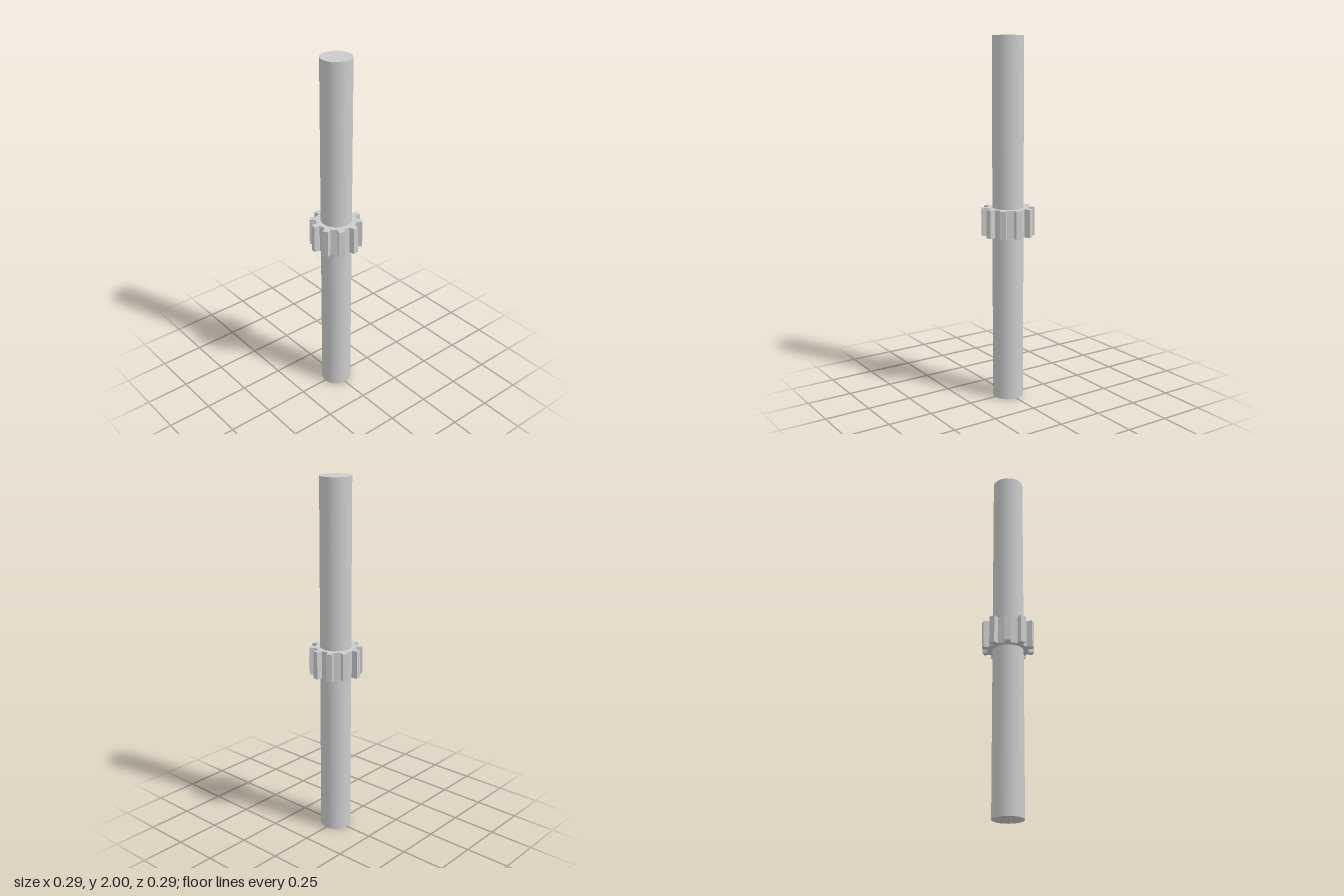
import * as THREE from 'three';

const TEETH = 10;
const ROOT_RADIUS = 0.113;
const TIP_DISTANCE = 0.1438;
const TOOTH_HALF_WIDTH = 0.0164;
const GEAR_BOTTOM = 0.925;
const GEAR_HEIGHT = 0.155;

// Outline of the pinion: straight-sided teeth joined by flat roots
function gearOutline() {
  const rootDistance = Math.sqrt(ROOT_RADIUS ** 2 - TOOTH_HALF_WIDTH ** 2);
  const corners = [
    [-TOOTH_HALF_WIDTH, rootDistance],
    [-TOOTH_HALF_WIDTH, TIP_DISTANCE],
    [TOOTH_HALF_WIDTH, TIP_DISTANCE],
    [TOOTH_HALF_WIDTH, rootDistance],
  ];
  const origin = new THREE.Vector2();
  const points = [];
  for (let i = 0; i < TEETH; i++) {
    const angle = -THREE.MathUtils.degToRad(9) - (i * Math.PI * 2) / TEETH;
    for (const [x, y] of corners) {
      points.push(new THREE.Vector2(x, y).rotateAround(origin, angle));
    }
  }
  return new THREE.Shape(points);
}

export function createModel() {
  const model = new THREE.Group();
  model.name = 'pinionShaft';
  const material = new THREE.MeshStandardMaterial({ color: 0xcccccc });

  // Long round shaft
  const shaft = new THREE.Mesh(new THREE.CylinderGeometry(0.085, 0.085, 2, 32), material);
  shaft.name = 'shaft';
  shaft.position.set(0.001, 1, -0.001);
  model.add(shaft);

  // Toothed pinion at mid height
  const gearGeometry = new THREE.ExtrudeGeometry(gearOutline(), { depth: GEAR_HEIGHT, bevelEnabled: false });
  gearGeometry.rotateX(-Math.PI / 2);
  const gear = new THREE.Mesh(gearGeometry, material);
  gear.name = 'pinionGear';
  gear.position.y = GEAR_BOTTOM;
  model.add(gear);

  return model;
}
